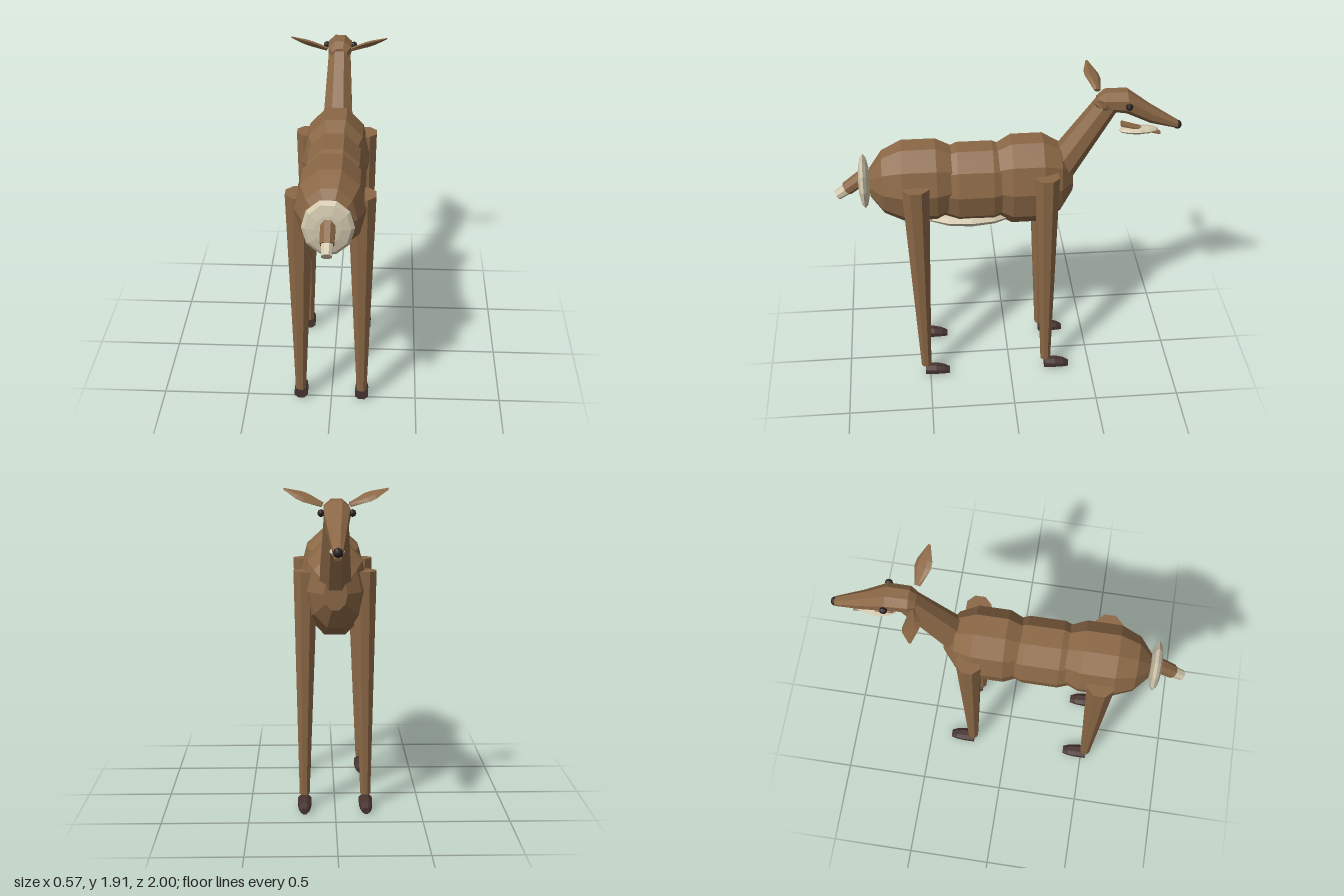
import * as THREE from 'three';

const mat = (name, color) => {
  const m = new THREE.MeshStandardMaterial({ color, flatShading: true });
  m.name = name;
  return m;
};

// Closed skin over elliptical rings [z, centreY, radiusX, radiusY], ordered by rising z
function loft(rings, sides) {
  const pos = [], idx = [], n = rings.length;
  for (const [z, cy, rx, ry] of rings) {
    for (let j = 0; j < sides; j++) {
      const a = ((j + 0.5) / sides) * Math.PI * 2 + Math.PI / 2;
      pos.push(Math.cos(a) * rx, cy + Math.sin(a) * ry, z);
    }
  }
  const first = rings[0], last = rings[n - 1];
  pos.push(0, first[1], first[0], 0, last[1], last[0]);
  for (let j = 0; j < sides; j++) {
    const k = (j + 1) % sides;
    for (let i = 0; i < n - 1; i++) {
      const a = i * sides + j, b = i * sides + k;
      idx.push(a, b, b + sides, a, b + sides, a + sides);
    }
    const e = (n - 1) * sides;
    idx.push(n * sides, k, j, n * sides + 1, e + j, e + k);
  }
  const g = new THREE.BufferGeometry();
  g.setAttribute('position', new THREE.Float32BufferAttribute(pos, 3));
  g.setIndex(idx);
  const flat = g.toNonIndexed();
  flat.computeVertexNormals();
  return flat;
}

export function createModel() {
  const model = new THREE.Group();
  model.name = 'deer';
  const coat = mat('coat brown', 0x8b6846);
  const cream = mat('cream', 0xd2c7ad);
  const hoofDark = mat('hoof dark brown', 0x46332f);
  const black = mat('nose black', 0x2a2020);

  const add = (name, geo, material) => {
    const m = new THREE.Mesh(geo, material);
    m.name = name;
    model.add(m);
    return m;
  };
  const ball = (name, material, p, r, w = 10, h = 6) => {
    const g = new THREE.SphereGeometry(1, w, h).rotateX(Math.PI / 2);
    g.scale(...r).translate(...p);
    return add(name, g, material);
  };
  // Tapered limb from p to q
  const limb = (name, material, p, q, r0, r1, sides = 8) => {
    const a = new THREE.Vector3(...p), b = new THREE.Vector3(...q);
    const d = b.clone().sub(a);
    const g = new THREE.CylinderGeometry(r1, r0, d.length(), sides).rotateY(Math.PI / sides);
    const m = add(name, g, material);
    m.position.copy(a).add(b).multiplyScalar(0.5);
    m.quaternion.setFromUnitVectors(new THREE.Vector3(0, 1, 0), d.normalize());
    return m;
  };

  // Three faceted masses form the trunk
  const profile = [[-1, 0.35], [-0.74, 0.77], [-0.34, 1], [0.34, 1], [0.74, 0.77], [1, 0.35]];
  const trunk = [
    ['chest', -0.11, 1.305, 0.265, 0.195, 0.28],
    ['midBody', 0.19, 1.3, 0.3, 0.185, 0.247],
    ['rump', 0.51, 1.325, 0.285, 0.198, 0.25],
  ];
  for (const [name, z, y, len, rx, ry] of trunk) {
    add(name, loft(profile.map(([t, k]) => [z + t * len, y, rx * k, ry * k]), 10), coat);
  }
  ball('bellyPatch', cream, [0, 1.085, 0.22], [0.128, 0.056, 0.275]);
  ball('rumpPatch', cream, [0, 1.335, 0.828], [0.142, 0.166, 0.034]);

  // Tail
  limb('tail', coat, [0, 1.365, 0.83], [0, 1.29, 0.93], 0.045, 0.04);
  limb('tailTip', cream, [0, 1.295, 0.92], [0, 1.25, 0.985], 0.035, 0.03);

  // Neck and head
  limb('neck', coat, [0, 1.27, -0.23], [0, 1.78, -0.565], 0.105, 0.07);
  add('head', loft([
    [-0.975, 1.622, 0.028, 0.024],
    [-0.81, 1.7, 0.053, 0.056],
    [-0.67, 1.788, 0.077, 0.072],
    [-0.545, 1.798, 0.073, 0.062],
    [-0.505, 1.79, 0.05, 0.035],
  ], 8), coat);
  ball('nose', black, [0, 1.62, -0.973], [0.028, 0.027, 0.025], 8, 6);
  limb('lowerJaw', coat, [0, 1.64, -0.65], [0, 1.572, -0.875], 0.03, 0.02).scale.z = 0.5;
  ball('chinPatch', cream, [0, 1.597, -0.75], [0.042, 0.023, 0.115], 8, 6);

  const earShape = loft([[0, 0, 0.02, 0.012], [0.1, 0, 0.054, 0.016],
    [0.14, 0, 0.05, 0.015], [0.228, 0, 0.008, 0.004]], 6);
  for (const s of [1, -1]) {
    const side = s > 0 ? 'left' : 'right';
    ball(side + 'Eye', black, [s * 0.083, 1.79, -0.673], [0.02, 0.021, 0.021], 8, 6);

    // Leaf-shaped ear, leaning outward
    const ear = add(side + 'Ear', earShape, coat);
    ear.position.set(s * 0.075, 1.82, -0.515);
    ear.lookAt(s * 0.29, 1.905, -0.48);
    ear.rotateZ(-s * 0.38);

    // Legs: [name, topY, topZ, footZ, topRadius, topX]
    for (const [name, y, zt, zb, r, x] of [
      ['FrontLeg', 1.415, -0.21, -0.222, 0.075, 0.168],
      ['BackLeg', 1.385, 0.535, 0.524, 0.084, 0.17],
    ]) {
      limb(side + name, coat, [s * 0.18, 0.08, zb], [s * x, y, zt], 0.032, r);
      const hoof = add(side + name + 'Hoof', loft([
        [-0.145, 0.02, 0.024, 0.02],
        [-0.11, 0.03, 0.036, 0.03],
        [-0.06, 0.037, 0.042, 0.037],
        [0.006, 0.04, 0.042, 0.038],
      ], 8), hoofDark);
      hoof.position.set(s * 0.18, 0, zb);
    }
  }
  return model;
}
